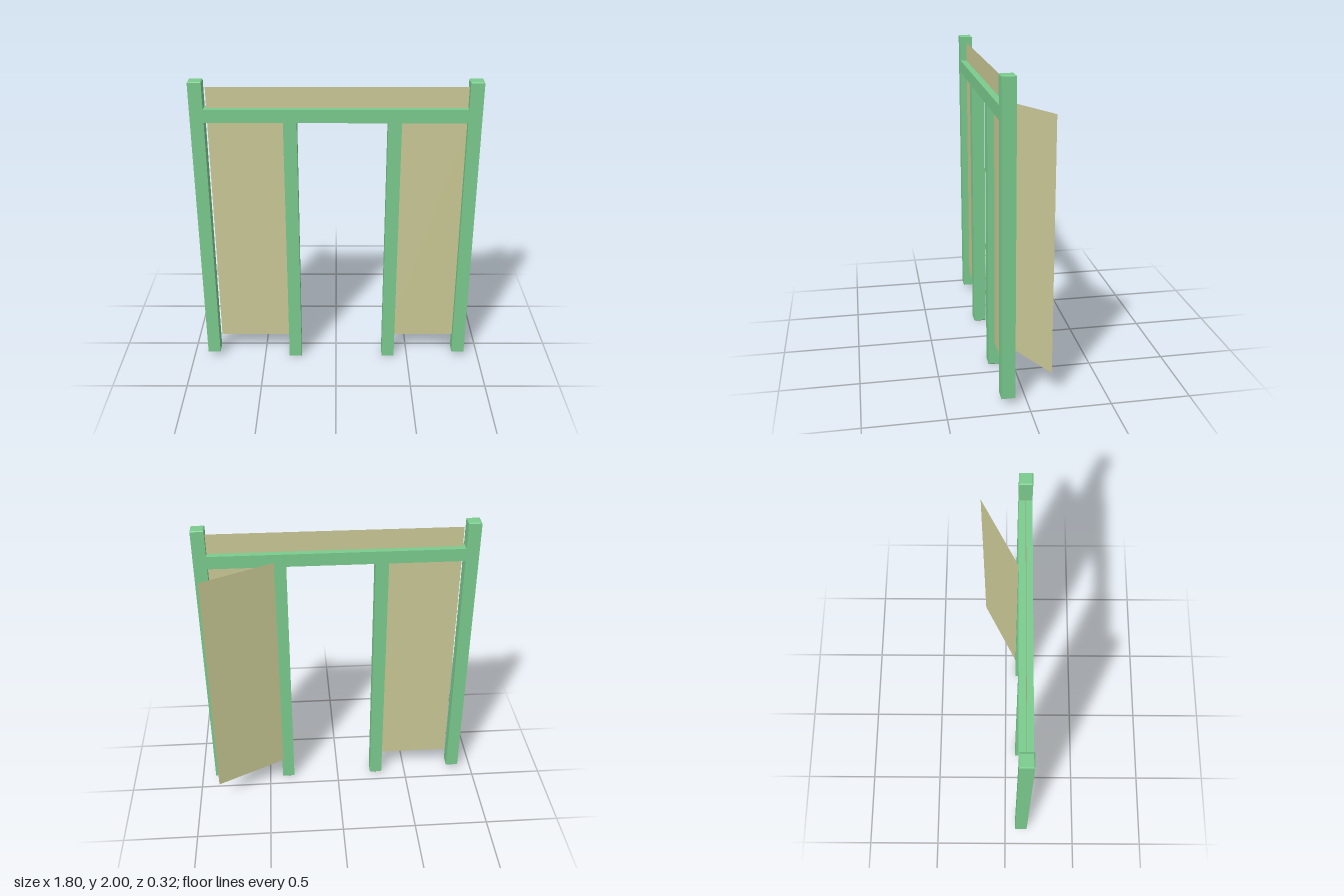
import * as THREE from 'three';

const W = 0.085;   // square timber width
const Z = 0.1175;  // depth of the frame's centre line

const green = new THREE.MeshStandardMaterial({ color: 0x7acb8e, flatShading: true });
const tan = new THREE.MeshStandardMaterial({ color: 0xc9c895, side: THREE.DoubleSide });

// Square post from y0 to y1, with optional small chamfers at its ends
function post(name, x, y0, y1, bevelBottom, bevelTop) {
  const r = W / Math.SQRT2;
  const profile = [
    [0, y0], [r - bevelBottom * Math.SQRT2, y0], [r, y0 + bevelBottom],
    [r, y1 - bevelTop], [r - bevelTop * Math.SQRT2, y1], [0, y1],
  ].map(([px, py]) => new THREE.Vector2(px, py));
  const geometry = new THREE.LatheGeometry(profile, 4, Math.PI / 4).toNonIndexed();
  geometry.computeVertexNormals();
  const mesh = new THREE.Mesh(geometry, green);
  mesh.name = name;
  mesh.position.set(x, 0, Z);
  return mesh;
}

// Thin sheet spanning x0..x1 and y0..y1 on the frame's centre line
function panel(name, x0, x1, y0, y1) {
  const mesh = new THREE.Mesh(new THREE.PlaneGeometry(x1 - x0, y1 - y0), tan);
  mesh.name = name;
  mesh.position.set((x0 + x1) / 2, (y0 + y1) / 2, Z);
  return mesh;
}

export function createModel() {
  const model = new THREE.Group();
  model.name = 'doorway';

  const beamBottom = 1.74, beamTop = 1.825, outer = 0.8575;

  // Outer posts rise above the beam, inner posts frame the doorway
  model.add(post('rightOuterPost', -outer, 0.04, 2, 0, 0.006));
  model.add(post('leftOuterPost', outer, 0.04, 2, 0, 0.006));
  model.add(post('rightInnerPost', -0.285, 0, beamBottom, 0.007, 0));
  model.add(post('leftInnerPost', 0.365, 0, beamBottom, 0.007, 0));

  // Cross beam between the outer posts
  const beam = new THREE.Mesh(
    new THREE.BoxGeometry(2 * outer - W, beamTop - beamBottom, W), green);
  beam.name = 'crossBeam';
  beam.position.set(0, (beamTop + beamBottom) / 2, Z);
  model.add(beam);

  // Wall sheets beside and above the doorway
  model.add(panel('rightWallPanel', -0.8, -0.285, 0.16, 1.77));
  model.add(panel('leftWallPanel', 0.365, 0.83, 0.16, 1.77));
  model.add(panel('topPanel', -0.8, 0.83, 1.77, 1.957));

  // Door sheet, swung open behind the left bay
  const hinge = new THREE.Vector2(0.39, 0.08), end = new THREE.Vector2(0.855, -0.16);
  const swing = end.clone().sub(hinge);
  const door = panel('openDoor', 0, swing.length(), 0.16, 1.77);
  door.position.x = (hinge.x + end.x) / 2;
  door.position.z = (hinge.y + end.y) / 2;
  door.rotation.y = Math.atan2(-swing.y, swing.x);
  model.add(door);

  return model;
}
